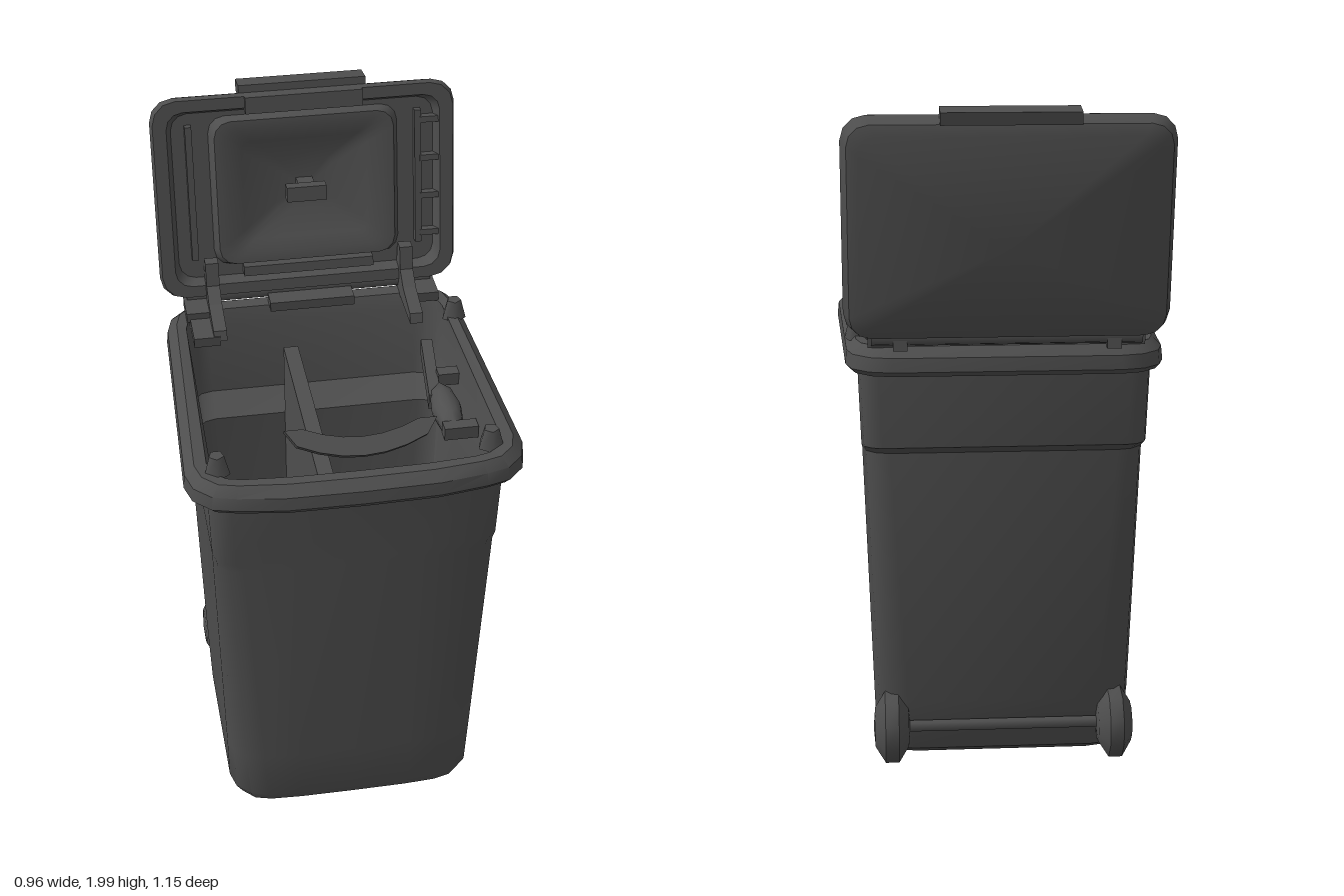
import * as THREE from 'three';
import { toCreasedNormals } from 'three/addons/utils/BufferGeometryUtils.js';

const plastic = new THREE.MeshStandardMaterial({ color: 0x4e4e4e });
plastic.name = 'dark grey plastic';

// Rounded rectangle cross-section: half width, front z, back z, corner radius,
// forward bow of the front middle, and width factor of the back corners.
function ring(y, w, zf, zb, r, bow = 0, taper = 1) {
  const pts = [];
  const corner = (cx, cz, start) => {
    for (let i = 0; i <= 3; i++) {
      const a = start + (i / 3) * Math.PI / 2;
      pts.push([cx + r * Math.cos(a), y, cz + r * Math.sin(a)]);
    }
  };
  corner(w - r, zf - r, 0);
  pts.push([w * 0.45, y, zf + bow], [0, y, zf + bow * 1.2], [-w * 0.45, y, zf + bow]);
  corner(r - w, zf - r, Math.PI / 2);
  corner((r - w) * taper, zb + r, Math.PI);
  corner((w - r) * taper, zb + r, Math.PI * 1.5);
  return pts;
}

// Skin a closed surface over successive rings, closing both ends.
function loft(rings, crease = 0.6) {
  const n = rings[0].length, pos = rings.flat(), idx = [];
  for (let k = 0; k < rings.length - 1; k++) {
    for (let j = 0; j < n; j++) {
      const a = k * n + j, b = k * n + (j + 1) % n;
      idx.push(a, a + n, b, b, a + n, b + n);
    }
  }
  const cap = (k, flip) => {
    const c = pos.length;
    const mid = [0, 1, 2].map(i => rings[k].reduce((s, p) => s + p[i], 0) / n);
    pos.push(mid);
    for (let j = 0; j < n; j++) {
      const a = k * n + j, b = k * n + (j + 1) % n;
      if (flip) idx.push(c, b, a); else idx.push(c, a, b);
    }
  };
  cap(0, false);
  cap(rings.length - 1, true);
  const g = new THREE.BufferGeometry();
  g.setAttribute('position', new THREE.Float32BufferAttribute(pos.flat(), 3));
  g.setIndex(idx);
  return toCreasedNormals(g, crease);
}

function add(parent, name, geo, x = 0, y = 0, z = 0) {
  const m = new THREE.Mesh(geo, plastic);
  m.name = name;
  m.position.set(x, y, z);
  parent.add(m);
  return m;
}
const box = (w, h, d) => new THREE.BoxGeometry(w, h, d);

export function createModel() {
  const bin = new THREE.Group();
  bin.name = 'wheeledBin';

  // Hollow container: outer wall, rolled rim, inner wall and floor
  add(bin, 'container', loft([
    ring(0, 0.36, 0.44, -0.18, 0.1, 0.005),
    ring(0.03, 0.38, 0.45, -0.23, 0.11, 0.005),
    ring(0.2, 0.385, 0.455, -0.28, 0.1, 0.006),
    ring(0.98, 0.41, 0.49, -0.305, 0.08, 0.012),
    ring(1.01, 0.412, 0.49, -0.36, 0.06, 0.012),
    ring(1.24, 0.42, 0.5, -0.37, 0.06, 0.015),
    ring(1.235, 0.465, 0.54, -0.43, 0.12, 0.02, 0.93),
    ring(1.25, 0.482, 0.55, -0.445, 0.13, 0.02, 0.92),
    ring(1.29, 0.478, 0.547, -0.44, 0.13, 0.02, 0.92),
    ring(1.318, 0.45, 0.525, -0.41, 0.11, 0.015, 0.92),
    ring(1.315, 0.415, 0.495, -0.37, 0.09, 0.01, 0.94),
    ring(1.27, 0.4, 0.475, -0.35, 0.08, 0.005),
    ring(1.04, 0.39, 0.465, -0.33, 0.07, 0.005),
    ring(0.99, 0.388, 0.462, -0.25, 0.07, 0.005),
    ring(0.06, 0.355, 0.425, -0.2, 0.07),
  ]));

  // Inner divider, narrowing with the container towards the floor
  const wall = new THREE.Shape([[-0.21, 0.06], [0.43, 0.06], [0.475, 1.23], [-0.255, 1.23]]
    .map(([z, y]) => new THREE.Vector2(-z, y)));
  const divider = new THREE.ExtrudeGeometry(wall, { depth: 0.045, bevelEnabled: false });
  divider.rotateY(Math.PI / 2);
  add(bin, 'divider', divider, -0.103, 0, 0);

  // Loose grip on the inner side wall
  const grip = new THREE.SphereGeometry(1, 8, 6);
  grip.scale(0.045, 0.045, 0.13);
  add(bin, 'innerGrip', grip, 0.33, 1.2, 0.11);
  add(bin, 'innerGripArm', box(0.035, 0.05, 0.3), 0.325, 1.19, -0.1).rotation.y = -0.12;
  add(bin, 'innerGripEnd', box(0.1, 0.04, 0.04), 0.345, 1.21, 0.225);
  add(bin, 'innerGripBracket', box(0.07, 0.04, 0.04), 0.37, 1.21, -0.05);

  // Curved grab bar above the front rim
  const bar = new THREE.Shape();
  bar.moveTo(-0.21, -0.045);
  bar.lineTo(-0.16, -0.045);
  bar.quadraticCurveTo(0, 0.025, 0.16, -0.045);
  bar.lineTo(0.21, -0.045);
  bar.lineTo(0.18, 0);
  bar.quadraticCurveTo(0, 0.085, -0.18, 0);
  const barGeo = new THREE.ExtrudeGeometry(bar, { depth: 0.03, bevelEnabled: false, curveSegments: 6 });
  barGeo.translate(0, 0, -0.015);
  barGeo.rotateX(Math.PI * 0.75);
  add(bin, 'frontGrabBar', barGeo, 0, 1.425, 0.52);

  // Small pegs on the rim
  for (const [x, z] of [[0.38, 0.44], [-0.39, 0.44], [0.42, -0.23]]) {
    add(bin, 'rimPeg', new THREE.CylinderGeometry(0.022, 0.038, 0.06, 5), x, 1.335, z);
  }

  // Hinge brackets, rear gusset and hinge rod
  const hinge = new THREE.Shape([[-0.2, 1.31], [-0.21, 1.34], [-0.32, 1.365], [-0.37, 1.4], [-0.385, 1.47],
    [-0.42, 1.47], [-0.44, 1.31]].map(([z, y]) => new THREE.Vector2(-z, y)));
  const hingeGeo = new THREE.ExtrudeGeometry(hinge, { depth: 0.04, bevelEnabled: false });
  hingeGeo.rotateY(Math.PI / 2);
  for (const s of [-1, 1]) {
    add(bin, 'hingeBracket', hingeGeo, s * 0.3 - 0.02, 0, 0);
    add(bin, 'hingeFoot', box(0.1, 0.03, 0.1), s * 0.34, 1.33, -0.36);
  }
  add(bin, 'rearGusset', box(0.08, 0.03, 0.16), -0.34, 1.31, -0.28);
  const rod = new THREE.CylinderGeometry(0.024, 0.024, 0.76, 8);
  rod.rotateZ(Math.PI / 2);
  add(bin, 'hingeRod', rod, 0, 1.345, -0.415);
  add(bin, 'rearLip', box(0.26, 0.03, 0.06), 0, 1.33, -0.36);

  // Wheels and axle
  const wheel = new THREE.LatheGeometry([[0, -0.055], [0.06, -0.05], [0.108, -0.02], [0.108, 0.02],
    [0.06, 0.05], [0, 0.055]].map(([r, y]) => new THREE.Vector2(r, y)), 9);
  wheel.rotateZ(Math.PI / 2);
  const wheelGeo = toCreasedNormals(wheel, 0.75);
  for (const s of [-1, 1]) add(bin, 'wheel', wheelGeo, s * 0.335, 0.12, -0.27);
  const axle = new THREE.CylinderGeometry(0.018, 0.018, 0.6, 8);
  axle.rotateZ(Math.PI / 2);
  add(bin, 'axle', axle, 0, 0.12, -0.27);

  // Open lid leaning backwards: dished shell with a raised inner panel
  const lid = new THREE.Group();
  lid.name = 'lid';
  lid.position.set(0, 1.345, -0.425);
  lid.rotation.x = -0.16;
  bin.add(lid);
  const shell = loft([
    ring(-0.045, 0.41, -0.04, -0.585, 0.05),
    ring(-0.03, 0.44, -0.01, -0.615, 0.06),
    ring(0.02, 0.457, 0, -0.63, 0.07),
    ring(0.04, 0.45, -0.005, -0.625, 0.07),
    ring(0.04, 0.41, -0.04, -0.59, 0.05),
    ring(0.005, 0.395, -0.055, -0.575, 0.05),
    ring(0.005, 0.285, -0.09, -0.56, 0.05),
    ring(0.035, 0.27, -0.1, -0.55, 0.05),
    ring(0.035, 0.235, -0.13, -0.52, 0.04),
    ring(0.02, 0.19, -0.17, -0.48, 0.03),
    ring(-0.01, 0.09, -0.25, -0.4, 0.02),
  ]);
  shell.rotateX(Math.PI / 2);
  add(lid, 'lidShell', shell);
  add(lid, 'lidKnobStem', box(0.05, 0.04, 0.06), 0, 0.325, 0.02);
  add(lid, 'lidKnob', box(0.12, 0.045, 0.04), -0.005, 0.325, 0.065);
  for (const s of [-1, 1]) {
    add(lid, 'lidSideRail', box(0.02, 0.42, 0.03), s * 0.345, 0.33, 0.015);
    for (let i = 0; i < 4; i++) {
      if (s > 0) add(lid, 'lidRib', box(0.07, 0.018, 0.03), 0.385, 0.15 + i * 0.12, 0.018);
    }
  }
  // Grip along the free edge of the lid and stiffener near the hinge
  add(lid, 'lidGrip', box(0.38, 0.035, 0.07), 0, 0.635, -0.015);
  add(lid, 'lidGripLip', box(0.35, 0.05, 0.03), 0, 0.6, 0.04);
  add(lid, 'lidStiffener', box(0.4, 0.03, 0.035), 0, 0.075, 0.025);
  return bin;
}
